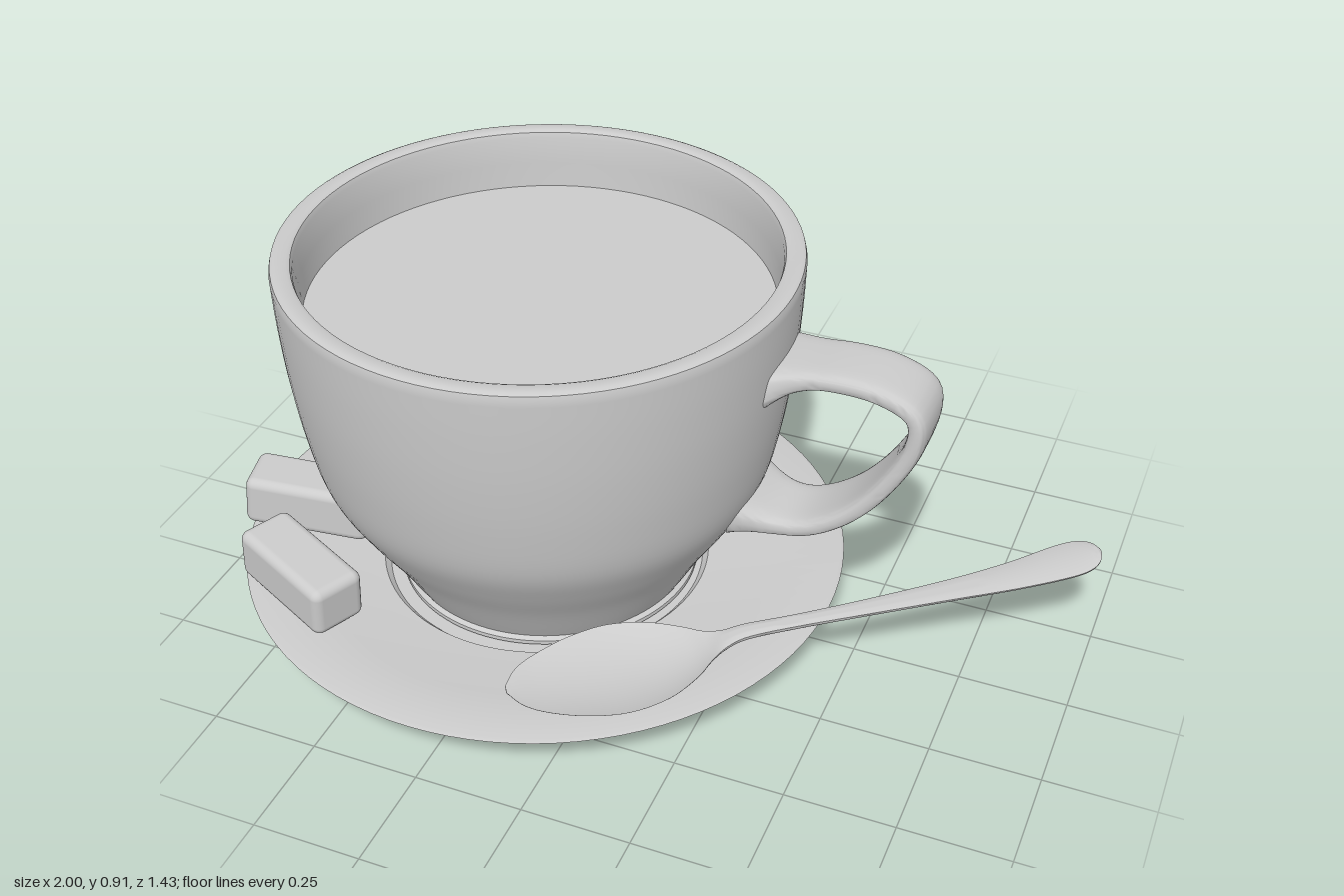
import * as THREE from 'three';
import { toCreasedNormals } from 'three/addons/utils/BufferGeometryUtils.js';
import { RoundedBoxGeometry } from 'three/addons/geometries/RoundedBoxGeometry.js';

const CX = -0.28; // centre of cup and saucer
const grey = new THREE.MeshStandardMaterial({ color: 0xcccccc });
const v2 = (p) => new THREE.Vector2(...p);
const v3 = (p) => new THREE.Vector3(...p);

function part(name, geometry, x = 0, y = 0, z = 0) {
  const mesh = new THREE.Mesh(geometry, grey);
  mesh.name = name;
  mesh.position.set(x, y, z);
  return mesh;
}

function lathe(profile) {
  return toCreasedNormals(new THREE.LatheGeometry(profile, 96), 0.6);
}

// Skins a list of equal-length rings of Vector3 and closes both ends
function loft(rings, crease) {
  const n = rings[0].length, pos = [], idx = [];
  rings.forEach((r) => r.forEach((p) => pos.push(p.x, p.y, p.z)));
  for (let j = 0; j < rings.length - 1; j++) {
    for (let i = 0; i < n; i++) {
      const a = j * n + i, b = j * n + (i + 1) % n;
      idx.push(a, b, b + n, a, b + n, a + n);
    }
  }
  [0, rings.length - 1].forEach((j) => {
    const c = rings[j].reduce((s, p) => s.add(p), new THREE.Vector3()).divideScalar(n);
    const k = pos.length / 3;
    pos.push(c.x, c.y, c.z);
    for (let i = 0; i < n; i++) {
      const a = j * n + i, b = j * n + (i + 1) % n;
      if (j === 0) idx.push(k, b, a); else idx.push(k, a, b);
    }
  });
  const g = new THREE.BufferGeometry();
  g.setAttribute('position', new THREE.Float32BufferAttribute(pos, 3));
  g.setIndex(idx);
  return toCreasedNormals(g, crease);
}

// Flat strap that flares where it meets the cup wall
function handleGeometry() {
  const path = new THREE.CatmullRomCurve3([
    [0.27, 0.725, 0], [0.33, 0.748, 0], [0.42, 0.764, 0], [0.53, 0.757, 0], [0.6, 0.72, 0],
    [0.605, 0.65, 0], [0.55, 0.53, 0], [0.47, 0.43, 0], [0.38, 0.37, 0], [0.31, 0.357, 0], [0.215, 0.37, 0],
  ].map(v3));
  const rings = [], steps = 64, sides = 32;
  const sq = (c) => Math.sign(c) * Math.sqrt(Math.abs(c));
  for (let j = 0; j <= steps; j++) {
    const t = j / steps, p = path.getPointAt(t), d = path.getTangentAt(t);
    const end = Math.min(t, 1 - t);
    const flare = Math.pow(Math.max(0, 1 - end / 0.14), 2);
    const half = 0.022 + 0.026 * flare, width = 0.084 + 0.036 * flare;
    rings.push(Array.from({ length: sides }, (_, i) => {
      const a = (i / sides) * Math.PI * 2;
      const u = half * sq(Math.cos(a)), w = width * sq(Math.sin(a));
      return new THREE.Vector3(p.x - d.y * u, p.y + d.x * u, w);
    }));
  }
  return loft(rings, 0.7);
}

// Spoon along +x: stations of distance, half width, edge height, hollow, thickness
function spoonGeometry() {
  const stations = [
    [0, 0.012, 0.118, 0, 0.006], [0.03, 0.06, 0.12, 0.005, 0.008], [0.08, 0.096, 0.122, 0.012, 0.01],
    [0.16, 0.13, 0.128, 0.022, 0.011], [0.25, 0.145, 0.135, 0.028, 0.012], [0.34, 0.126, 0.142, 0.027, 0.012],
    [0.41, 0.085, 0.152, 0.018, 0.014], [0.45, 0.05, 0.162, 0.008, 0.017], [0.49, 0.028, 0.176, -0.003, 0.022],
    [0.54, 0.022, 0.191, -0.004, 0.022], [0.65, 0.02, 0.199, -0.004, 0.021], [0.8, 0.024, 0.209, -0.004, 0.02],
    [1, 0.033, 0.225, -0.004, 0.02], [1.15, 0.045, 0.241, -0.005, 0.021], [1.27, 0.056, 0.263, -0.006, 0.022],
    [1.32, 0.05, 0.273, -0.006, 0.022], [1.345, 0.031, 0.279, -0.005, 0.018], [1.355, 0.008, 0.281, -0.002, 0.01],
  ];
  const outline = new THREE.CatmullRomCurve3(stations.map((s) => v3(s.slice(0, 3))), false, 'catmullrom');
  const section = new THREE.CatmullRomCurve3(stations.map((s) => v3([s[3], s[4], 0])), false, 'catmullrom');
  const rings = [], steps = 85, m = 12;
  for (let j = 0; j <= steps; j++) {
    const { x, y: w, z: edge } = outline.getPoint(j / steps);
    const { x: hollow, y: thick } = section.getPoint(j / steps);
    rings.push(Array.from({ length: 2 * m }, (_, i) => {
      const a = (i / m) * Math.PI, u = Math.cos(a), s = Math.sin(a);
      const top = edge - hollow * (1 - u * u);
      return new THREE.Vector3(x, i <= m ? top : top + thick * s, -w * u);
    }));
  }
  return loft(rings, 0.9);
}

export function createModel() {
  const model = new THREE.Group();
  model.name = 'teaCupSet';

  // Saucer with a foot and a shallow well
  model.add(part('saucer', lathe([
    [0, 0], [0.375, 0], [0.39, 0.005], [0.402, 0.02], [0.55, 0.053], [0.7, 0.1], [0.714, 0.108],
    [0.705, 0.112], [0.55, 0.092], [0.43, 0.079], [0.39, 0.076], [0.376, 0.06], [0, 0.06],
  ].map(v2)), CX));

  // Cup: curved outer wall, rounded rim, inner wall
  const outer = new THREE.SplineCurve([
    [0.345, 0.085], [0.362, 0.115], [0.41, 0.2], [0.47, 0.295], [0.522, 0.395], [0.55, 0.52],
    [0.569, 0.66], [0.579, 0.79], [0.583, 0.895],
  ].map(v2)).getPoints(40);
  const cup = new THREE.Group();
  cup.name = 'cup';
  cup.add(part('cupWall', lathe([
    ...[[0, 0.06], [0.345, 0.06], [0.355, 0.068], [0.355, 0.078]].map(v2),
    ...outer,
    ...[[0.58, 0.907], [0.572, 0.911], [0.545, 0.911], [0.537, 0.907], [0.533, 0.895],
      [0.53, 0.83], [0.522, 0.74]].map(v2),
  ]), CX + 0.008, 0, -0.004));
  const drink = part('drink', new THREE.CircleGeometry(0.53, 96), CX + 0.008, 0.77, -0.004);
  drink.rotation.x = -Math.PI / 2;
  cup.add(drink, part('cupHandle', handleGeometry(), 0.005, 0, -0.007));
  model.add(cup);

  // Spoon resting on the saucer
  const spoon = part('spoon', spoonGeometry(), -0.13, 0, 0.54);
  spoon.rotation.y = 0.595;
  model.add(spoon);

  // Two sugar cubes leaning with the slope of the saucer
  [
    { at: [-0.83, 0.171, 0.152], turn: 0.23, tilt: -0.1, name: 'sugarCubeBack' },
    { at: [-0.715, 0.163, 0.405], turn: -0.42, tilt: -0.07, name: 'sugarCubeFront' },
  ].forEach(({ at, turn, tilt, name }) => {
    const cube = part(name, new RoundedBoxGeometry(0.3, 0.128, 0.134, 4, 0.022), ...at);
    cube.rotation.set(0, turn, tilt);
    model.add(cube);
  });
  return model;
}
